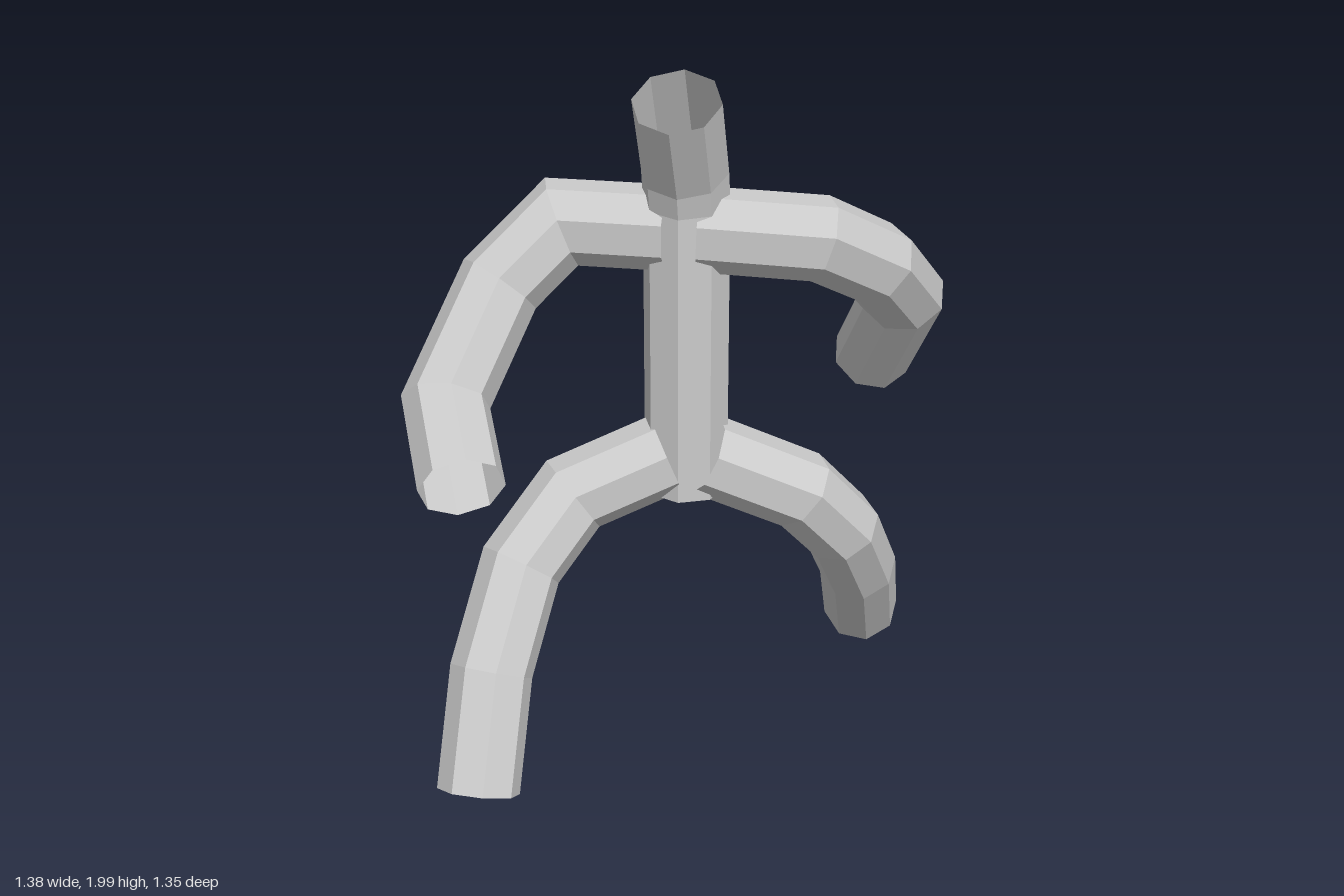
import * as THREE from 'three';

const SIDES = 8;
const material = new THREE.MeshStandardMaterial({
  color: 0xcccccc, flatShading: true, side: THREE.DoubleSide,
});

// Open eight-sided pipe along a bent path, with mitred joints.
// hint fixes the direction of the first corner, phase turns the ring.
function pipe(name, path, radius, hint, phase) {
  const pts = path.map((p) => new THREE.Vector3(...p));
  const dirs = pts.slice(1).map((p, i) => p.clone().sub(pts[i]).normalize());
  const side = new THREE.Vector3().crossVectors(dirs[0], new THREE.Vector3(...hint)).normalize();
  const up = new THREE.Vector3().crossVectors(side, dirs[0]);

  // First ring, square to the first segment
  let ring = [];
  for (let i = 0; i < SIDES; i++) {
    const a = ((i + phase) / SIDES) * Math.PI * 2;
    ring.push(pts[0].clone()
      .addScaledVector(up, radius * Math.cos(a))
      .addScaledVector(side, radius * Math.sin(a)));
  }
  const rings = [ring];

  // Slide each ring along its segment until it meets the next mitre plane
  dirs.forEach((d, k) => {
    const normal = d.clone().add(dirs[k + 1] ?? d).normalize();
    const end = pts[k + 1];
    ring = ring.map((v) => {
      const t = end.clone().sub(v).dot(normal) / d.dot(normal);
      return v.clone().addScaledVector(d, t);
    });
    rings.push(ring);
  });

  const index = [];
  for (let k = 0; k < rings.length - 1; k++) {
    for (let i = 0; i < SIDES; i++) {
      const j = (i + 1) % SIDES;
      const a = k * SIDES + i, b = k * SIDES + j;
      index.push(a, b, a + SIDES, b, b + SIDES, a + SIDES);
    }
  }
  const geometry = new THREE.BufferGeometry().setFromPoints(rings.flat());
  geometry.setIndex(index);
  geometry.computeVertexNormals();
  const mesh = new THREE.Mesh(geometry, material);
  mesh.name = name;
  return mesh;
}

export function createModel() {
  const group = new THREE.Group();
  group.name = 'stridingFigure';
  const Y = [0, 1, 0], Z = [0, 0, 1];

  group.add(
    // Trunk, bending forward into the neck
    pipe('torsoAndNeck', [
      [0.01, 0.78, -0.035], [0.01, 1.64, -0.035], [0.01, 1.73, -0.012], [0.01, 1.953, 0.1],
    ], 0.119, Z, 0),
    // Left arm swings back, right arm swings forward
    pipe('leftArm', [
      [0.05, 1.56, -0.03], [0.37, 1.55, -0.05], [0.51, 1.44, -0.18],
      [0.575, 1.27, -0.37], [0.475, 0.985, -0.565],
    ], 0.116, Y, 0.5),
    pipe('rightArm', [
      [-0.04, 1.56, -0.025], [-0.33, 1.56, -0.015], [-0.48, 1.41, 0.09],
      [-0.58, 1.15, 0.31], [-0.47, 1.03, 0.555],
    ], 0.116, Y, 0.5),
    // Left leg trails, right leg steps forward
    pipe('leftLeg', [
      [0.07, 0.89, -0.015], [0.33, 0.755, -0.105], [0.44, 0.59, -0.205],
      [0.48, 0.37, -0.37], [0.475, 0.088, -0.59],
    ], 0.116, Y, 0.5),
    pipe('rightLeg', [
      [-0.04, 0.89, 0], [-0.29, 0.785, 0.095], [-0.41, 0.62, 0.235],
      [-0.455, 0.38, 0.42], [-0.46, 0.085, 0.58],
    ], 0.116, Y, 0.5),
  );
  return group;
}
